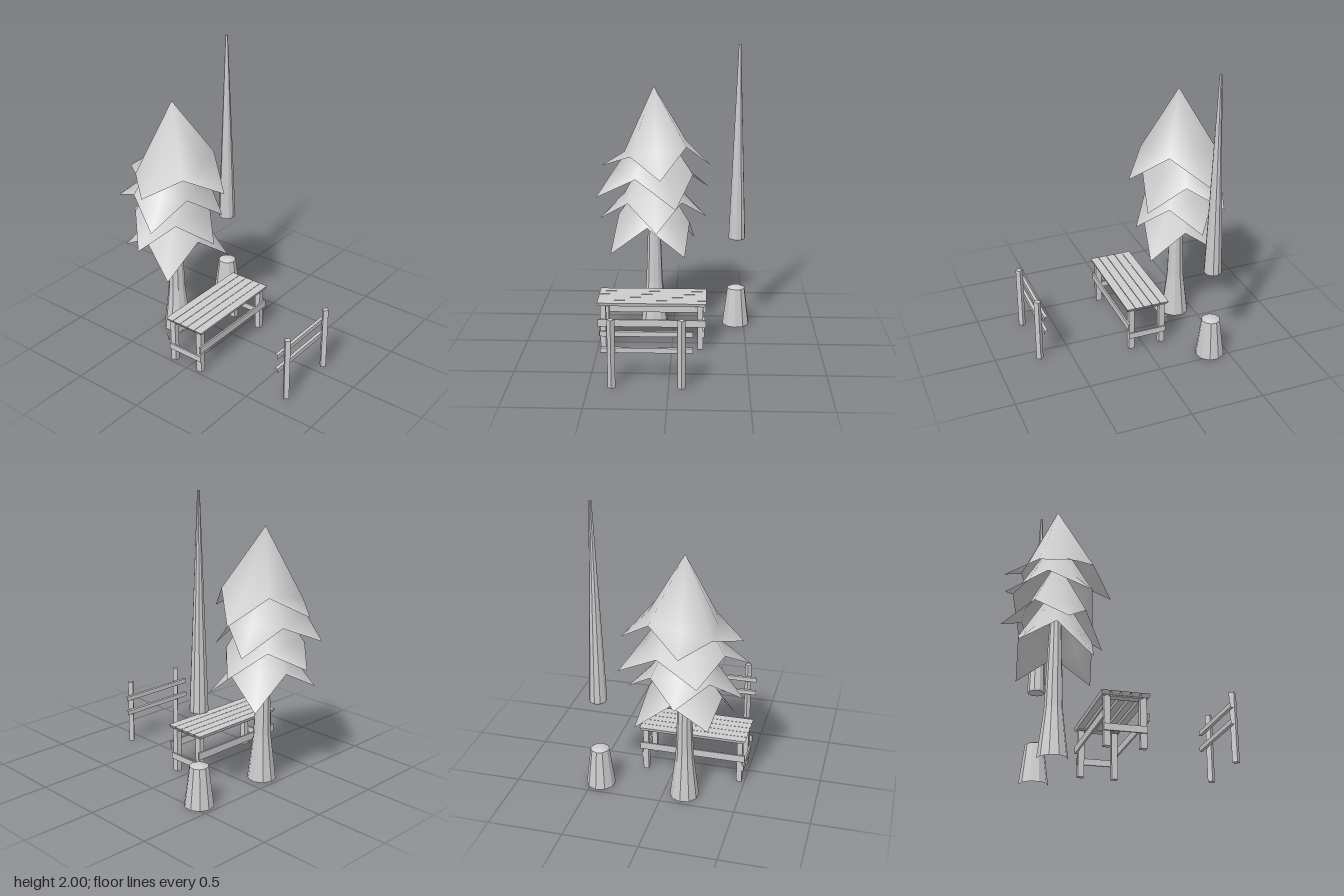
import * as THREE from 'three';

const smooth = new THREE.MeshStandardMaterial({ color: 0xcccccc, side: THREE.DoubleSide });
const flat = new THREE.MeshStandardMaterial({ color: 0xcccccc, flatShading: true });

function addMesh(parent, name, geometry, material = flat) {
  const mesh = new THREE.Mesh(geometry, material);
  mesh.name = name;
  parent.add(mesh);
  return mesh;
}

function addGroup(parent, name, x = 0, z = 0) {
  const group = new THREE.Group();
  group.name = name;
  group.position.set(x, 0, z);
  parent.add(group);
  return group;
}

// Box given by its minimum and maximum on each axis
function addBox(parent, name, [x0, x1], [y0, y1], [z0, z1]) {
  const mesh = addMesh(parent, name, new THREE.BoxGeometry(x1 - x0, y1 - y0, z1 - z0));
  mesh.position.set((x0 + x1) / 2, (y0 + y1) / 2, (z0 + z1) / 2);
  return mesh;
}

// Ten-sided turned wood from [radius, height] pairs
function turned(points) {
  return new THREE.LatheGeometry(points.map(([r, y]) => new THREE.Vector2(r, y)), 10).rotateY(-0.08);
}

// Branch tier: a steep pyramid over the raised edge middles, with a shallow flap out to each low corner
function tierGeometry(apexY, lifts, corners) {
  const tips = corners.map((c) => new THREE.Vector3(...c));
  const middles = tips.map((tip, i) => {
    const middle = tip.clone().lerp(tips[(i + 1) % 4], 0.5);
    middle.y += lifts[i];
    return middle;
  });
  const shoulders = tips.map((tip, i) =>
    new THREE.Vector3(tip.x * 0.56, (middles[i].y + middles[(i + 3) % 4].y) / 2 + 0.015, tip.z * 0.56));
  // Order of points: apex, shoulders 1-4, middles 5-8, tips 9-12
  const index = [];
  for (let i = 0; i < 4; i++) {
    const shoulder = 1 + i, after = 5 + i, before = 5 + (i + 3) % 4, tip = 9 + i;
    index.push(0, after, shoulder, 0, shoulder, before);
    index.push(shoulder, after, tip, shoulder, tip, before);
  }
  const apex = new THREE.Vector3(0, apexY, 0);
  const geometry = new THREE.BufferGeometry().setFromPoints([apex, ...shoulders, ...middles, ...tips]);
  geometry.setIndex(index);
  geometry.computeVertexNormals();
  return geometry;
}

function buildTree(parent) {
  const tree = addGroup(parent, 'tree', -0.14, -0.38);
  addMesh(tree, 'trunk', turned([[0.097, 0], [0.064, 0.27], [0.059, 0.32], [0.045, 0.72], [0.008, 1.65], [0, 1.65]]));
  // Apex height, edge lifts, then corners to the right, front, left and back of the trunk
  const tiers = [
    [1.715, [0.18, 0.113, 0.06, 0.15], [[0.397, 1.15, -0.06], [0.06, 1.14, 0.38], [-0.364, 1.165, 0.04], [-0.043, 1.18, -0.347]]],
    [1.52, [0.17, 0.17, 0.14, 0.14], [[0.385, 0.967, -0.173], [0.16, 0.915, 0.282], [-0.395, 0.963, 0.14], [-0.16, 1.0, -0.355]]],
    [1.34, [0.16, 0.16, 0.14, 0.14], [[0.365, 0.79, -0.03], [0.03, 0.755, 0.314], [-0.38, 0.778, 0.005], [-0.02, 0.84, -0.355]]],
    [1.16, [0.18, 0.2, 0.18, 0.17], [[0.28, 0.587, -0.195], [0.22, 0.58, 0.283], [-0.296, 0.567, 0.18], [-0.21, 0.667, -0.265]]],
  ];
  tiers.forEach((tier, i) => addMesh(tree, `branchTier${i + 1}`, tierGeometry(...tier), smooth));
}

// Stump with a domed cut, and the bare upper trunk floating above it
function buildCutTrunk(parent) {
  const cut = addGroup(parent, 'cutTrunk', 0.443, -0.385);
  addMesh(cut, 'stump', turned([[0.098, 0], [0.063, 0.27], [0.03, 0.284], [0, 0.287]]));
  addMesh(cut, 'upperTrunk', turned([[0, 0.64], [0.057, 0.637], [0.06, 0.648], [0.008, 2], [0, 2]]));
}

function buildTable(parent) {
  const table = addGroup(parent, 'table', -0.135, -0.018);
  // Slats, narrower underneath
  for (let i = 0; i < 5; i++) {
    const z = (i - 2) * 0.0605;
    const slat = addBox(table, 'slat', [-0.367, 0.367], [0.31, 0.333], [z - 0.029, z + 0.029]);
    const pos = slat.geometry.attributes.position;
    for (let k = 0; k < pos.count; k++) {
      if (pos.getY(k) < 0) pos.setXYZ(k, pos.getX(k) * 0.96, pos.getY(k), pos.getZ(k) * 0.75);
    }
    slat.geometry.computeVertexNormals();
  }
  for (const s of [-1, 1]) {
    const span = (a, b) => (s > 0 ? [a, b] : [-b, -a]);
    // Legs, end rails and slat supports
    for (const t of [-1, 1]) {
      const z = t * 0.1105;
      addBox(table, 'leg', span(0.309, 0.346), [0, 0.311], [z - 0.02, z + 0.02]);
    }
    addBox(table, 'endRail', span(0.346, 0.357), [0.09, 0.132], [-0.133, 0.133]);
    addBox(table, 'slatSupport', span(0.29, 0.35), [0.304, 0.311], [-0.13, 0.13]);
    // Long side rails
    addBox(table, 'sideRail', [-0.365, 0.365], [0.163, 0.213], span(0.1305, 0.142));
  }
}

function buildFence(parent) {
  const fence = addGroup(parent, 'fence', -0.136, 0.71);
  // Posts stand turned by an eighth
  for (const s of [-1, 1]) {
    const post = addBox(fence, 'post', [-0.017, 0.017], [0, 0.45], [-0.017, 0.017]);
    post.position.x = s * 0.217;
    post.rotation.y = Math.PI / 4;
  }
  // Rails are open at both ends: the first two box sides are left out
  for (const y of [0.222, 0.33]) {
    const rail = addBox(fence, 'rail', [-0.287, 0.287], [y, y + 0.031], [-0.045, -0.024]);
    rail.geometry.setIndex([...rail.geometry.index.array].slice(12));
  }
}

export function createModel() {
  const model = new THREE.Group();
  model.name = 'picnicSpot';
  buildTree(model);
  buildCutTrunk(model);
  buildTable(model);
  buildFence(model);
  return model;
}
